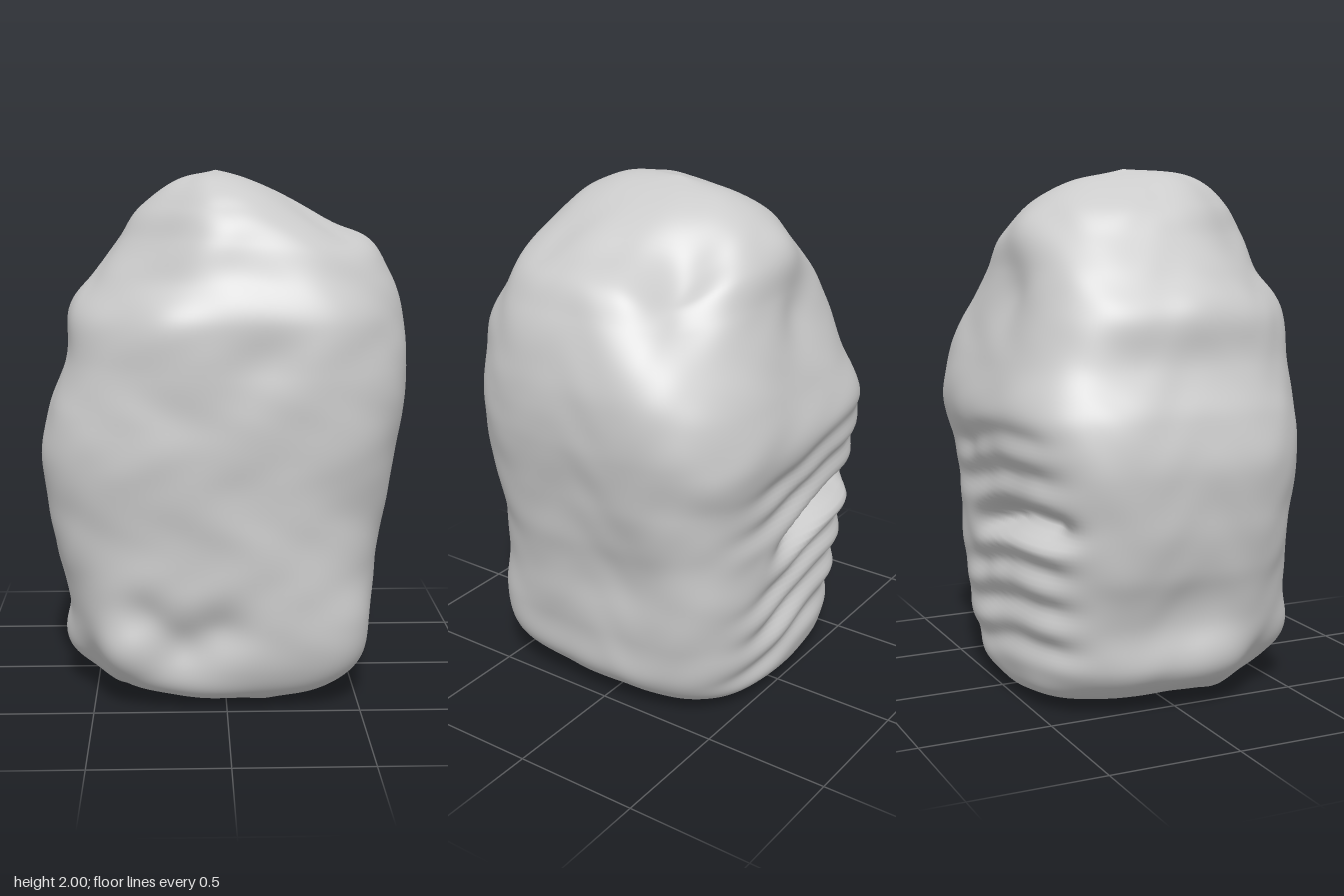
import * as THREE from 'three';

// Horizontal sections from the underside to the peak: y, left x, right x, back z, front z, squareness
const SECTIONS = [
  [0.08, 0.00, 0.00, 0.00, 0.00, 2.4],
  [0.06, -0.24, 0.22, -0.24, 0.22, 2.5],
  [0.04, -0.41, 0.36, -0.43, 0.40, 2.8],
  [0.08, -0.52, 0.45, -0.505, 0.50, 3.1],
  [0.18, -0.60, 0.53, -0.53, 0.55, 3.4],
  [0.35, -0.61, 0.55, -0.545, 0.57, 3.7],
  [0.55, -0.67, 0.58, -0.555, 0.57, 3.7],
  [0.75, -0.69, 0.61, -0.56, 0.585, 3.6],
  [0.95, -0.70, 0.64, -0.59, 0.61, 3.6],
  [1.12, -0.67, 0.67, -0.625, 0.615, 3.5],
  [1.30, -0.61, 0.69, -0.58, 0.615, 3.3],
  [1.48, -0.585, 0.67, -0.52, 0.605, 3.1],
  [1.63, -0.50, 0.62, -0.48, 0.535, 2.9],
  [1.76, -0.41, 0.54, -0.44, 0.50, 2.6],
  [1.87, -0.33, 0.34, -0.35, 0.43, 2.4],
  [1.96, -0.18, 0.10, -0.20, 0.30, 2.2],
  [2.00, -0.04, -0.04, 0.00, 0.00, 2],
];

// Local bulges (+) and hollows (-): x, y, z, radius, amount
const LUMPS = [
  // foot of the front
  [-0.42, 0.24, 0.52, 0.12, 0.04], [-0.62, 0.25, 0.10, 0.14, 0.03],
  [-0.18, 0.27, 0.58, 0.13, -0.06], [-0.03, 0.34, 0.58, 0.10, -0.04],
  [-0.32, 0.40, 0.58, 0.09, -0.03], [-0.58, 0.14, 0.38, 0.13, -0.04],
  [0.48, 0.27, 0.50, 0.18, 0.045],
  // crown, with a trough between the peak and the shoulder
  [0.30, 1.78, -0.25, 0.15, -0.08], [0.45, 1.70, -0.35, 0.20, -0.09],
  [0.36, 1.78, -0.02, 0.10, -0.04], [0.40, 1.78, 0.28, 0.18, -0.04],
  [-0.16, 1.95, 0.18, 0.16, 0.02], [-0.10, 1.77, -0.42, 0.11, 0.02],
  [-0.40, 1.60, -0.36, 0.16, 0.02],
  [-0.10, 1.58, -0.50, 0.12, -0.03], [-0.55, 1.52, 0.05, 0.13, 0.02],
  // flanks
  [0.15, 1.40, 0.60, 0.14, -0.02], [-0.25, 1.50, 0.56, 0.16, 0.02],
  [0.60, 1.42, 0.45, 0.22, -0.04], [0.55, 0.80, 0.50, 0.20, -0.02],
  [0.60, 0.62, -0.18, 0.18, -0.03], [0.55, 0.45, 0.10, 0.18, 0.015],
  [0.52, 0.55, -0.46, 0.18, 0.02], [-0.60, 0.38, 0.0, 0.15, -0.02],
  // underside
  [0.05, 0.06, 0.05, 0.14, 0.02], [-0.22, 0.04, 0.28, 0.11, -0.04],
  [0.12, 0.04, 0.34, 0.08, 0.03], [-0.38, 0.05, 0.20, 0.08, 0.02],
  [0.14, 0.04, -0.30, 0.09, 0.04], [-0.20, 0.04, -0.30, 0.10, -0.04],
];

// Horizontal grooves across the back face: height, half thickness, depth, where they end in x
const GROOVES = [
  [0.22, 0.045, 0.02, 0.4], [0.37, 0.05, 0.03, 0.35], [0.52, 0.045, 0.025, 0.35],
  [0.68, 0.05, 0.10, 0.12], [0.86, 0.05, 0.025, 0.4], [1.00, 0.05, 0.02, 0.4],
];

const { smoothstep } = THREE.MathUtils;
const gauss = (d, r) => Math.exp(-(d * d) / (r * r));

// Gentle weathered unevenness
function roughness(x, y, z) {
  let sum = 0;
  for (let k = 0, f = 5, a = 0.005; k < 3; k++, f *= 1.9, a *= 0.6) {
    sum += a * (Math.sin(f * x + 1.7 * Math.sin(f * 0.8 * y + k) + k)
      + Math.sin(f * 1.3 * y + 1.4 * Math.sin(f * 0.7 * z - k))
      * Math.cos(f * 0.9 * z + 1.3 * Math.sin(f * 0.6 * x)));
  }
  return sum;
}

function relief(x, y, z) {
  let d = roughness(x, y, z);
  for (const [lx, ly, lz, r, a] of LUMPS) {
    d += a * gauss(Math.hypot(x - lx, y - ly, z - lz), r);
  }
  const back = smoothstep(-z, 0.3, 0.5) * smoothstep(x, -0.66, -0.45);
  const slanted = y + 0.12 * x + 0.02 * Math.sin(7 * x);
  for (const [gy, w, a, end] of GROOVES) {
    const reach = back * (1 - smoothstep(x, end - 0.3, end + 0.1));
    d += reach * a * (0.25 * gauss(slanted - gy + 0.08, w) - gauss(slanted - gy, w));
  }
  return d;
}

function rockGeometry(rows = 170, sides = 180) {
  const heights = new THREE.CatmullRomCurve3(
    SECTIONS.map(s => new THREE.Vector3(s[0], s[1], s[2])), false, 'catmullrom', 0.5);
  const depths = new THREE.CatmullRomCurve3(
    SECTIONS.map(s => new THREE.Vector3(s[3], s[4], s[5])), false, 'catmullrom', 0.5);
  const points = [], index = [];

  // Rounded-square rings, stacked from the underside to the peak
  for (let i = 0; i <= rows; i++) {
    const { x: y, y: left, z: right } = heights.getPoint(i / rows);
    const { x: back, y: front, z: square } = depths.getPoint(i / rows);
    for (let j = 0; j < sides; j++) {
      const a = (j / sides) * Math.PI * 2, c = Math.cos(a), s = Math.sin(a);
      // the corner at front and -x is rounder than the others
      const n = square + 1.6 * Math.min(0, c) * Math.max(0, s);
      const r = (Math.abs(c) ** n + Math.abs(s) ** n) ** (-1 / n);
      points.push((left + right) / 2 + c * r * (right - left) / 2, y,
        (back + front) / 2 + s * r * (front - back) / 2);
      if (i < rows) {
        const p = i * sides + j, q = i * sides + (j + 1) % sides;
        if (i < rows - 1) index.push(p, p + sides, q + sides);
        if (i > 0) index.push(p, q + sides, q);
        if (i === rows - 1) index.push(p, p + sides, q);
      }
    }
  }
  const geometry = new THREE.BufferGeometry();
  geometry.setAttribute('position', new THREE.Float32BufferAttribute(points, 3));
  geometry.setIndex(index);
  geometry.computeVertexNormals();

  // Push the surface along its normals; the two pole rings move as one point
  const pos = geometry.attributes.position, nor = geometry.attributes.normal;
  const p = new THREE.Vector3(), dir = new THREE.Vector3();
  for (let i = 0; i < pos.count; i++) {
    p.fromBufferAttribute(pos, i);
    dir.fromBufferAttribute(nor, i);
    if (i < sides) dir.set(0, -1, 0);
    if (i >= rows * sides) dir.set(0, 1, 0);
    p.addScaledVector(dir, relief(p.x, p.y, p.z));
    pos.setXYZ(i, p.x, p.y, p.z);
  }

  // Settle on the ground
  geometry.computeBoundingBox();
  const { min, max } = geometry.boundingBox;
  geometry.translate(-(min.x + max.x) / 2, -min.y, -(min.z + max.z) / 2);
  geometry.computeVertexNormals();
  for (let j = 0; j < sides; j++) {
    nor.setXYZ(j, 0, -1, 0);
    nor.setXYZ(rows * sides + j, 0, 1, 0);
  }
  return geometry;
}

export function createModel() {
  const group = new THREE.Group();
  group.name = 'rock';
  const boulder = new THREE.Mesh(rockGeometry(), new THREE.MeshStandardMaterial({ color: 0xcccccc }));
  boulder.name = 'boulder';
  group.add(boulder);
  return group;
}
